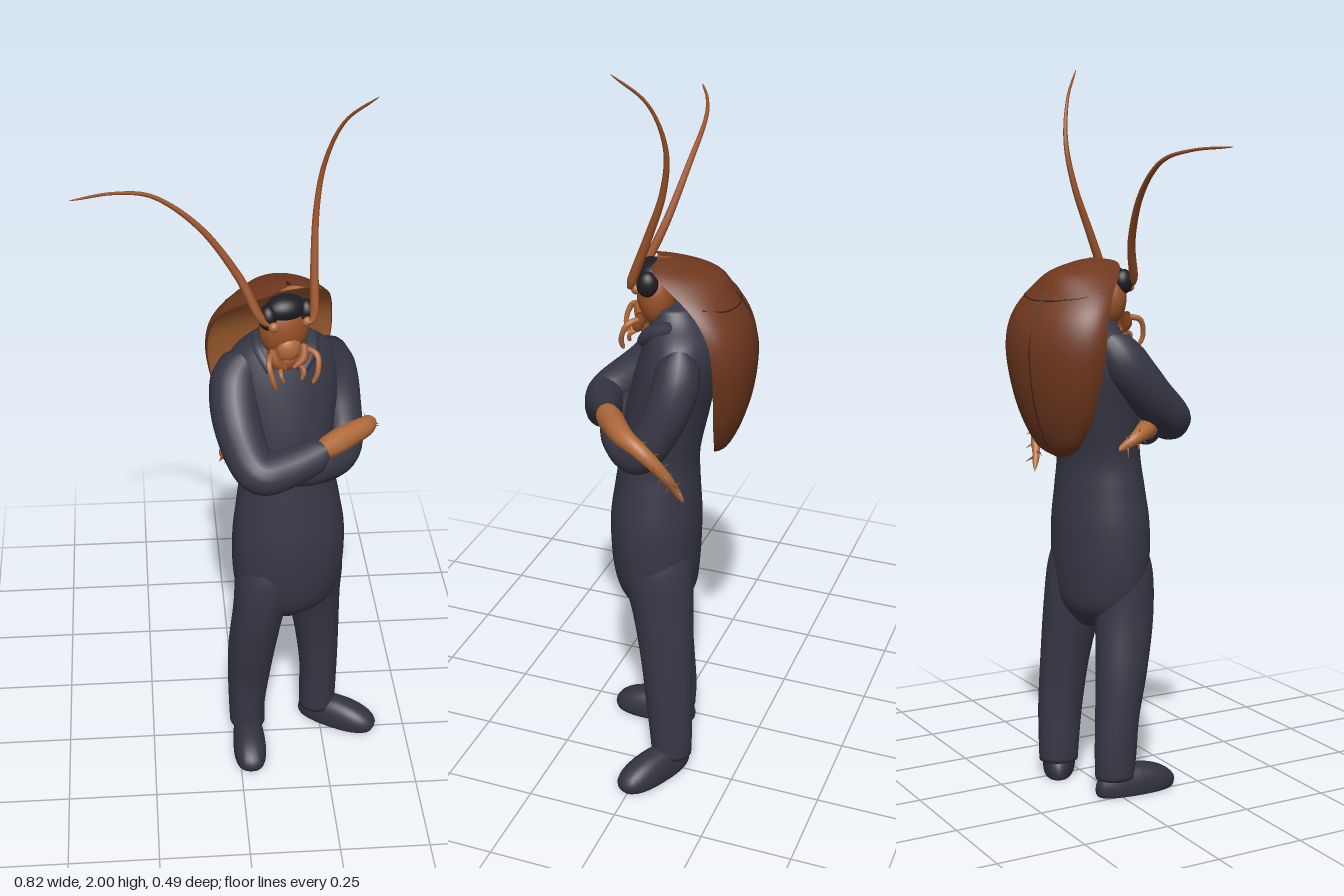
import * as THREE from 'three';
import { mergeVertices } from 'three/addons/utils/BufferGeometryUtils.js';

const mat = (name, color, side = THREE.FrontSide) => {
  const m = new THREE.MeshStandardMaterial({ color, side });
  m.name = name;
  return m;
};
const YAW = 0.28; // the upper body is turned a little towards its left

export function createModel() {
  const root = new THREE.Group();
  root.name = 'insectInCoveralls';
  const cloth = mat('navy cloth', 0x373846);
  const boot = mat('boot leather', 0x32333e);
  const shellMat = mat('shell brown', 0x70381f, THREE.DoubleSide);
  const liningMat = mat('shell underside', 0x9a5a2c, THREE.DoubleSide);
  const chitin = mat('orange brown chitin', 0x9a5228);
  const tan = mat('tan chitin', 0xb06a3a);
  const dark = mat('eye black', 0x1e1c22);
  const seamMat = mat('dark brown seam', 0x3c1e14);

  const add = (name, geo, material, parent = root) => {
    const m = new THREE.Mesh(geo, material);
    m.name = name;
    parent.add(m);
    return m;
  };
  const V = p => new THREE.Vector3(...p);
  const spline = pts => new THREE.CatmullRomCurve3(pts.map(V), false, 'catmullrom', 0.5);

  // Closed loft through horizontal ellipses [y, cx, cz, rx, rz], bottom to top
  function loft(rings, yaw = 0) {
    const centres = spline(rings.map(r => [r[1], r[0], r[2]]));
    const radii = spline(rings.map(r => [r[3], 0, r[4]]));
    const g = new THREE.CylinderGeometry(1, 1, 1, 32, rings.length * 5);
    const p = g.attributes.position, c = new THREE.Vector3(), s = new THREE.Vector3();
    for (let i = 0; i < p.count; i++) {
      const t = THREE.MathUtils.clamp(p.getY(i) + 0.5, 0, 1);
      centres.getPoint(t, c);
      radii.getPoint(t, s);
      const x = p.getX(i) * s.x, z = p.getZ(i) * s.z;
      p.setXYZ(i, c.x + x * Math.cos(yaw) + z * Math.sin(yaw), c.y,
        c.z - x * Math.sin(yaw) + z * Math.cos(yaw));
    }
    g.deleteAttribute('uv');
    g.deleteAttribute('normal');
    const out = mergeVertices(g);
    out.computeVertexNormals();
    return out;
  }

  // Tube with evenly spaced radii along its path and rounded ends
  function limb(pts, radii, sides = 16, segs = 32) {
    const curve = spline(pts);
    const g = new THREE.TubeGeometry(curve, segs, 1, sides);
    const p = g.attributes.position, c = new THREE.Vector3(), v = new THREE.Vector3();
    for (let i = 0; i < p.count; i++) {
      const u = Math.floor(i / (sides + 1)) / segs;
      const k = u * (radii.length - 1), j = Math.min(Math.floor(k), radii.length - 2);
      const r = THREE.MathUtils.lerp(radii[j], radii[j + 1], k - j)
        * Math.sqrt(Math.min(1, Math.min(u, 1 - u) / 0.07));
      curve.getPointAt(u, c);
      v.fromBufferAttribute(p, i).sub(c).multiplyScalar(r).add(c);
      p.setXYZ(i, v.x, v.y, v.z);
    }
    return g;
  }

  // Surface f(u, v) -> [x, y, z]
  function sheet(f, nu, nv) {
    const g = new THREE.PlaneGeometry(1, 1, nu, nv);
    const p = g.attributes.position;
    for (let i = 0; i < p.count; i++) p.setXYZ(i, ...f(p.getX(i) + 0.5, p.getY(i) + 0.5));
    g.computeVertexNormals();
    return g;
  }

  const ball = (name, material, parent, [x, y, z], [rx, ry, rz]) => {
    const m = add(name, new THREE.SphereGeometry(1, 24, 16), material, parent);
    m.position.set(x, y, z);
    m.scale.set(rx, ry, rz);
    return m;
  };

  // Coveralls: torso and hips, then trouser legs
  add('torso', loft([
    [0.47, 0.135, 0.0, 0.05, 0.05], [0.53, 0.138, 0.005, 0.13, 0.1], [0.62, 0.14, 0.01, 0.155, 0.118],
    [0.75, 0.14, 0.01, 0.157, 0.122], [0.86, 0.137, 0.006, 0.142, 0.112], [0.95, 0.133, -0.0, 0.13, 0.105],
    [1.08, 0.125, -0.02, 0.14, 0.11], [1.2, 0.12, -0.045, 0.155, 0.105], [1.28, 0.12, -0.055, 0.135, 0.09],
    [1.33, 0.12, -0.045, 0.075, 0.065], [1.36, 0.12, -0.035, 0.05, 0.05]], 0.2), cloth);
  add('rightLeg', loft([
    [0.05, 0.03, -0.005, 0.052, 0.055], [0.12, 0.028, -0.003, 0.053, 0.06], [0.22, 0.032, 0.004, 0.06, 0.062],
    [0.35, 0.04, 0.022, 0.068, 0.073], [0.5, 0.058, 0.04, 0.073, 0.085], [0.64, 0.08, 0.035, 0.085, 0.095],
    [0.74, 0.09, 0.02, 0.06, 0.07]]), cloth);
  add('leftLeg', loft([
    [0.05, 0.245, -0.07, 0.053, 0.056], [0.12, 0.245, -0.068, 0.054, 0.06], [0.22, 0.244, -0.063, 0.056, 0.066],
    [0.35, 0.235, -0.053, 0.064, 0.072], [0.5, 0.219, -0.036, 0.077, 0.085], [0.64, 0.205, -0.01, 0.09, 0.1],
    [0.74, 0.195, 0.0, 0.07, 0.08]]), cloth);

  // Boots: rounded, flat underneath, lower at the toe
  for (const [name, x, z, yaw] of [['rightBoot', 0.03, 0.06, 0], ['leftBoot', 0.302, -0.04, 1.08]]) {
    const g = new THREE.SphereGeometry(1, 28, 20);
    const p = g.attributes.position;
    for (let i = 0; i < p.count; i++) {
      const pz = p.getZ(i), w = 0.047 + 0.007 * pz;
      const px = Math.sign(p.getX(i)) * Math.abs(p.getX(i)) ** 0.8;
      p.setXYZ(i, px * w, Math.max(0, 0.018 + p.getY(i) * (0.062 - 0.012 * pz)),
        Math.sign(pz) * Math.abs(pz) ** 0.85 * 0.122);
    }
    g.computeVertexNormals();
    const b = add(name, g, boot);
    b.position.set(x, 0, z);
    b.rotation.y = yaw;
  }

  // Folded sleeves
  add('rightSleeve', limb([[0.035, 1.285, -0.035], [-0.008, 1.21, 0.005], [-0.003, 1.12, 0.085],
    [0.04, 1.045, 0.178], [0.12, 1.045, 0.165], [0.228, 1.07, 0.118]],
    [0.05, 0.066, 0.064, 0.06, 0.055, 0.05, 0.045], 20, 48), cloth);
  add('leftSleeve', limb([[0.215, 1.285, -0.085], [0.263, 1.2, -0.09], [0.282, 1.1, -0.06],
    [0.28, 1.0, 0.005], [0.2, 1.0, 0.09], [0.1, 1.015, 0.12], [0.0, 1.02, 0.08]],
    [0.05, 0.06, 0.056, 0.054, 0.052, 0.048, 0.042, 0.04], 20, 48), cloth);

  // Bare insect forelegs beyond the cuffs, with rows of spines
  function foreleg(name, pts, radii, spines) {
    const grp = new THREE.Group();
    grp.name = name;
    root.add(grp);
    add(name + 'Segment', limb(pts, radii, 12, 32), tan, grp);
    const curve = spline(pts), up = new THREE.Vector3(0, 1, 0);
    for (let i = 0; i < spines; i++) {
      const u = 0.45 + 0.5 * i / spines, t = curve.getTangentAt(u);
      const side = new THREE.Vector3().crossVectors(t, up).normalize().applyAxisAngle(t, i * 2.1);
      const s = add('spine', new THREE.ConeGeometry(0.004, 0.028, 5), chitin, grp);
      s.position.copy(curve.getPointAt(u)).addScaledVector(side, 0.02);
      s.quaternion.setFromUnitVectors(up, side.addScaledVector(t, 0.6).normalize());
    }
  }
  foreleg('rightForeleg', [[0.2, 1.065, 0.13], [0.27, 1.075, 0.08], [0.335, 1.075, 0.025], [0.357, 1.05, -0.035],
    [0.34, 0.99, -0.085], [0.305, 0.93, -0.105], [0.285, 0.885, -0.12]],
    [0.03, 0.034, 0.03, 0.022, 0.017, 0.012, 0.007], 16);
  foreleg('leftForeleg', [[0.03, 1.025, 0.1], [-0.015, 1.025, 0.06], [-0.035, 1.01, 0.02], [-0.02, 0.98, -0.02]],
    [0.03, 0.026, 0.017, 0.008], 8);

  // Shell: rows of [y, half width, depth, rim z], in the turned frame
  const shell = new THREE.Group();
  shell.name = 'shell';
  shell.position.set(0.095, 0, -0.14);
  shell.rotation.y = YAW;
  root.add(shell);
  const rows = [[0.955, 0.012, 0.008, 0.005], [0.985, 0.075, 0.04, 0], [1.06, 0.125, 0.075, 0], [1.15, 0.158, 0.098, 0],
    [1.25, 0.178, 0.108, 0.002], [1.33, 0.174, 0.105, 0.015], [1.395, 0.15, 0.105, 0.055], [1.45, 0.105, 0.135, 0.125],
    [1.478, 0.062, 0.085, 0.16], [1.488, 0.006, 0.03, 0.145]];
  const rowA = spline(rows.map(r => [r[1], r[0], r[3]]));
  const rowB = spline(rows.map(r => [r[2], 0, 0]));
  const shellPoint = (u, v, scale = 1, curved = 1) => {
    const a = rowA.getPoint(v), th = (0.5 - u) * Math.PI;
    return [a.x * Math.sin(th) * scale, a.y, a.z - rowB.getPoint(v).x * Math.cos(th) * curved];
  };
  add('wingCase', sheet((u, v) => shellPoint(u, v), 32, 48), shellMat, shell);
  add('wingUnderside', sheet((u, v) => shellPoint(1 - u, v, 0.985, 0.12), 24, 40), liningMat, shell);
  const mid = [0.03, 0.15, 0.3, 0.45, 0.58, 0.68].map(v => shellPoint(0.5, v));
  add('wingSeam', new THREE.TubeGeometry(spline(mid), 32, 0.002, 6), seamMat, shell);
  const hoodEdge = [0.1, 0.25, 0.4, 0.5, 0.6, 0.75, 0.9].map(u => shellPoint(u, 0.7 - 0.06 * Math.sin(u * Math.PI)));
  add('hoodSeam', new THREE.TubeGeometry(spline(hoodEdge), 32, 0.002, 6), seamMat, shell);

  // Head under the hood
  const head = new THREE.Group();
  head.name = 'head';
  head.position.set(0.118, 1.38, 0.015);
  head.rotation.y = YAW;
  root.add(head);
  ball('skull', chitin, head, [0, 0, 0], [0.066, 0.082, 0.05]);
  ball('crown', dark, head, [0, 0.058, 0.008], [0.055, 0.036, 0.04]);
  ball('facePlate', tan, head, [0, -0.045, 0.028], [0.036, 0.04, 0.03]);
  ball('upperLip', chitin, head, [0, -0.082, 0.032], [0.026, 0.024, 0.02]);
  for (const s of [-1, 1]) {
    ball('eye', dark, head, [s * 0.052, 0.045, 0.018], [0.024, 0.034, 0.028]);
    ball('antennaSocket', tan, head, [s * 0.046, 0.03, 0.048], [0.014, 0.014, 0.012]);
    add('jaw', limb([[s * 0.045, -0.04, 0.03], [s * 0.036, -0.075, 0.045], [s * 0.008, -0.098, 0.046]],
      [0.016, 0.015, 0.006], 10, 16), chitin, head);
    add('outerPalp', limb([[s * 0.042, -0.05, 0.03], [s * 0.066, -0.06, 0.068], [s * 0.062, -0.1, 0.085],
      [s * 0.05, -0.135, 0.08]], [0.008, 0.008, 0.007, 0.006], 8, 20), tan, head);
    add('innerPalp', limb([[s * 0.02, -0.085, 0.03], [s * 0.032, -0.1, 0.065], [s * 0.024, -0.125, 0.068]],
      [0.007, 0.006, 0.005], 8, 16), tan, head);
  }

  // Collar flaps at the open neck
  for (const [name, x] of [['rightCollar', 0.055], ['leftCollar', 0.195]]) {
    const s = x > 0.12 ? 1 : -1;
    add(name, limb([[x, 1.325, -0.06], [x - s * 0.005, 1.3, 0.0], [x - s * 0.035, 1.255, 0.045]],
      [0.02, 0.022, 0.012], 10, 20), cloth);
  }

  // Long antennae, thinning to the tips
  add('rightAntenna', limb([[0.085, 1.41, 0.07], [0.052, 1.435, 0.066], [0.0, 1.535, 0.03], [-0.09, 1.655, 0.005],
    [-0.2, 1.74, 0.0], [-0.3, 1.768, 0.03], [-0.41, 1.775, 0.083]],
    [0.013, 0.012, 0.01, 0.008, 0.006, 0.004, 0.003], 8, 60), chitin);
  add('leftAntenna', limb([[0.165, 1.41, 0.06], [0.19, 1.43, 0.055], [0.193, 1.55, 0.01], [0.2, 1.68, -0.035],
    [0.22, 1.8, -0.05], [0.262, 1.915, -0.022], [0.333, 2.0, 0.042]],
    [0.013, 0.012, 0.01, 0.008, 0.006, 0.004, 0.003], 8, 60), chitin);

  return root;
}
